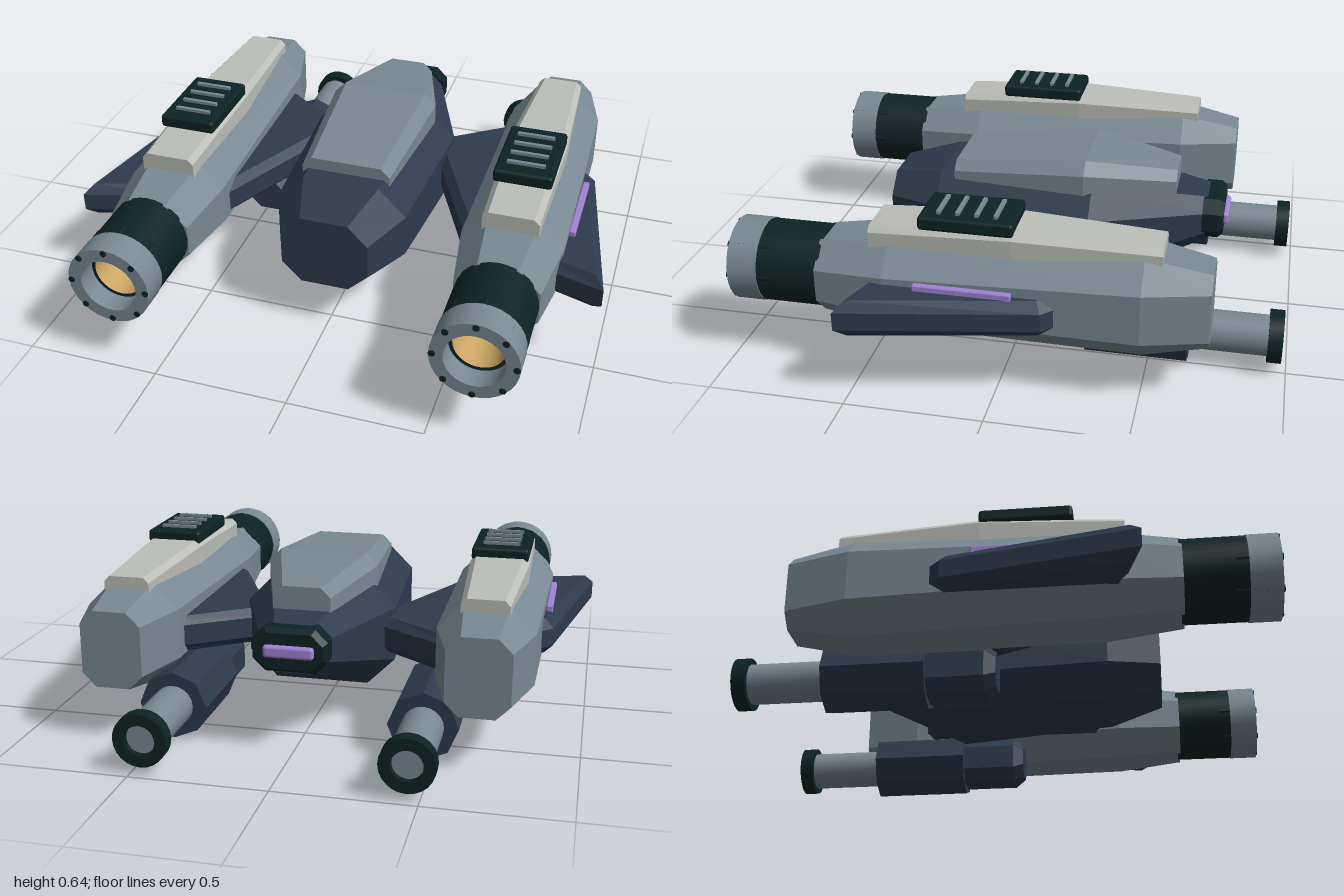
import * as THREE from 'three';
import { toCreasedNormals } from 'three/addons/utils/BufferGeometryUtils.js';
import { RoundedBoxGeometry } from 'three/addons/geometries/RoundedBoxGeometry.js';

const paint = (name, color) => {
  const m = new THREE.MeshStandardMaterial({ color });
  m.name = name;
  return m;
};

// Flat-faced hull along z; each section is [z, halfWidth, bottom, top, chamfer]
function loft(sections) {
  const pos = [], index = [], last = (sections.length - 1) * 8;
  for (const [z, w, b, t, c] of sections) {
    const ring = [[w, b + c], [w, t - c], [w - c, t], [c - w, t], [-w, t - c], [-w, b + c], [c - w, b], [w - c, b]];
    for (const [x, y] of ring) pos.push(x, y, z);
  }
  for (let i = 0; i < last; i += 8) {
    for (let j = 0; j < 8; j++) {
      const k = (j + 1) % 8;
      index.push(i + j, i + k, i + 8 + k, i + j, i + 8 + k, i + 8 + j);
    }
  }
  for (let j = 1; j < 7; j++) index.push(0, j + 1, j, last, last + j, last + j + 1);
  const g = new THREE.BufferGeometry();
  g.setAttribute('position', new THREE.Float32BufferAttribute(pos, 3));
  g.setIndex(index);
  const flat = g.toNonIndexed();
  flat.computeVertexNormals();
  return flat;
}

// Turned part around z; the profile is [radius, z] pairs
function turned(profile, sides = 32) {
  const g = new THREE.LatheGeometry(profile.map(([r, z]) => new THREE.Vector2(r, z)), sides);
  return toCreasedNormals(g.rotateX(Math.PI / 2), 0.5);
}

// Bevelled slab with an outline of [x, z] points, mirrored by s
function slab(points, s, bottom, top, bevel) {
  const shape = new THREE.Shape(points.map(([x, z]) => new THREE.Vector2(s * x, z)));
  const g = new THREE.ExtrudeGeometry(shape, {
    depth: top - bottom - 2 * bevel, bevelThickness: bevel, bevelSize: bevel, bevelOffset: -bevel, bevelSegments: 1,
  });
  return g.rotateX(Math.PI / 2).translate(0, top - bevel, 0);
}

export function createModel() {
  const model = new THREE.Group();
  model.name = 'spacecraft';
  const grey = paint('hull grey', 0x788993);
  const pale = paint('pale panel', 0xbcbeb9);
  const navy = paint('navy hull', 0x2d3b4d);
  const dark = paint('dark metal', 0x0c2323);
  const violet = paint('violet glow', 0xa183d3);
  const gold = paint('gold lining', 0xc9a362);

  const add = (parent, name, geometry, material, x = 0, y = 0, z = 0) => {
    const mesh = new THREE.Mesh(geometry, material);
    mesh.name = name;
    mesh.position.set(x, y, z);
    parent.add(mesh);
    return mesh;
  };
  const group = (name, x = 0, y = 0, z = 0) => {
    const g = new THREE.Group();
    g.name = name;
    g.position.set(x, y, z);
    model.add(g);
    return g;
  };

  // Central body, canopy and tail light
  add(model, 'centralBody', loft([
    [-0.66, 0.12, 0.3, 0.48, 0.05], [-0.23, 0.285, 0.12, 0.535, 0.105],
    [0.37, 0.25, 0.155, 0.53, 0.105], [0.57, 0.165, 0.205, 0.485, 0.075]]), navy);
  add(model, 'canopy', loft([
    [-0.54, 0.105, 0.42, 0.58, 0.035], [-0.2, 0.21, 0.45, 0.627, 0.045],
    [0.31, 0.17, 0.47, 0.577, 0.035]]), grey);
  add(model, 'tailCap', loft([
    [-0.725, 0.12, 0.335, 0.465, 0.04], [-0.705, 0.135, 0.32, 0.48, 0.045], [-0.645, 0.135, 0.32, 0.48, 0.045]]), dark);
  add(model, 'tailLight', new RoundedBoxGeometry(0.18, 0.045, 0.03, 2, 0.012), violet, 0, 0.4, -0.728);

  for (const [s, side] of [[1, 'left'], [-1, 'right']]) {
    // Side pod with raised top panel
    const pod = group(side + 'Pod', s * 0.652);
    add(pod, 'podHull', loft([
      [-0.73, 0.113, 0.215, 0.5, 0.05], [-0.5, 0.175, 0.17, 0.547, 0.095],
      [0.39, 0.187, 0.185, 0.522, 0.095], [0.65, 0.152, 0.21, 0.49, 0.08]]), grey);
    add(pod, 'topPanel', loft([
      [-0.56, 0.085, 0.48, 0.582, 0.02], [-0.05, 0.112, 0.48, 0.6, 0.022],
      [0.46, 0.102, 0.48, 0.575, 0.02]]), pale);
    add(pod, 'vent', new RoundedBoxGeometry(0.216, 0.05, 0.335, 2, 0.012), dark, 0, 0.61, 0.112);
    for (let i = 0; i < 4; i++) {
      add(pod, 'ventRib', new THREE.BoxGeometry(0.14, 0.02, 0.014), grey, 0, 0.636, 0.012 + i * 0.067);
    }

    // Front nozzle: sleeve, rim, lining and glowing core
    const nozzle = group(side + 'Nozzle', s * 0.652, 0.355);
    add(nozzle, 'sleeve', turned([
      [0.12, 0.64], [0.15, 0.64], [0.15, 0.875], [0.106, 0.875], [0.106, 0.9], [0.092, 0.9]]), dark);
    add(nozzle, 'rim', turned([
      [0.105, 0.87], [0.153, 0.87], [0.153, 0.98], [0.105, 0.98], [0.105, 0.87]]), grey);
    add(nozzle, 'lining', turned([[0.092, 0.9], [0.08, 0.77]]), gold);
    add(nozzle, 'core', new THREE.CircleGeometry(0.082, 32), violet, 0, 0, 0.77);
    add(nozzle, 'coreRing', new THREE.RingGeometry(0.032, 0.047, 32), dark, 0, 0, 0.774);
    for (let i = 0; i < 8; i++) {
      const a = i * Math.PI / 4;
      const bolt = new THREE.CylinderGeometry(0.012, 0.012, 0.16, 10).rotateX(Math.PI / 2);
      add(nozzle, 'bolt', bolt, dark, 0.141 * Math.cos(a), 0.141 * Math.sin(a), 0.904);
    }

    // Wings
    add(model, side + 'InnerWing', slab([
      [0.24, -0.29], [0.62, -0.55], [0.62, 0.5], [0.54, 0.5], [0.24, -0.145]], s, 0.268, 0.405, 0.03), navy);
    add(model, side + 'OuterWing', slab([
      [0.7, -0.3], [0.82, -0.22], [0.87, -0.17], [1, 0.515], [0.7, 0.43]], s, 0.268, 0.405, 0.035), navy);
    add(model, side + 'WingLight', new RoundedBoxGeometry(0.025, 0.03, 0.345, 1, 0.006), violet, s * 0.848, 0.411, 0.105);

    // Rear-facing gun under the pod
    const gun = group(side + 'Gun', s * 0.458, 0.133);
    const housing = loft([[-0.645, 0.117, -0.117, 0.117, 0.0685], [-0.27, 0.117, -0.117, 0.117, 0.0685]]);
    add(gun, 'housing', housing.rotateZ(Math.PI / 8), navy);
    add(gun, 'housingNose', loft([
      [-0.3, 0.093, -0.093, 0.093, 0.045], [-0.06, 0.093, -0.093, 0.093, 0.045],
      [-0.02, 0.07, -0.065, 0.065, 0.035]]), navy);
    add(gun, 'barrel', turned([[0, -0.955], [0.075, -0.955], [0.075, -0.6]], 20), grey);
    add(gun, 'muzzle', turned([
      [0.055, -0.98], [0.097, -0.98], [0.097, -0.928], [0.055, -0.928], [0.055, -0.98]], 24), dark);
  }
  return model;
}
